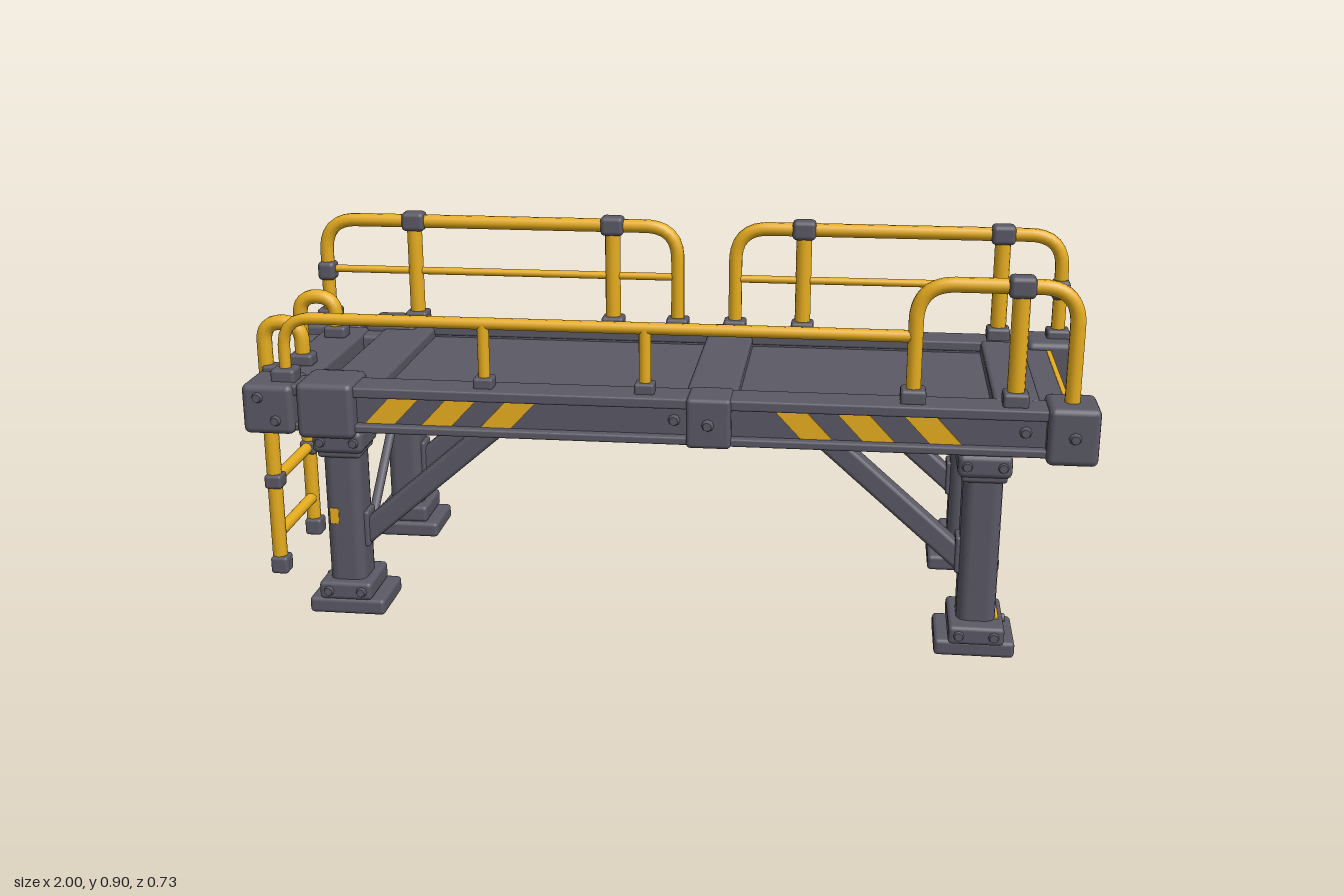
import * as THREE from 'three';
import { RoundedBoxGeometry } from 'three/addons/geometries/RoundedBoxGeometry.js';

export function createModel() {
  const root = new THREE.Group();
  root.name = 'maintenancePlatform';
  const mat = (name, color) => {
    const m = new THREE.MeshStandardMaterial({ color });
    m.name = name;
    return m;
  };
  const steel = mat('dark steel', 0x5a5965);
  const yellow = mat('safety yellow', 0xe8ae1e);

  const add = (name, geo, m = steel) => {
    const mesh = new THREE.Mesh(geo, m);
    mesh.name = name;
    root.add(mesh);
    return mesh;
  };
  // Bevelled block given by its min and max on each axis
  const block = (name, x0, x1, y0, y1, z0, z1, r = 0.01, m = steel) => {
    const w = x1 - x0, h = y1 - y0, d = z1 - z0;
    const mesh = add(name, new RoundedBoxGeometry(w, h, d, 2, Math.min(r, w / 3, h / 3, d / 3)), m);
    mesh.position.set((x0 + x1) / 2, (y0 + y1) / 2, (z0 + z1) / 2);
  };
  const cube = (name, x, y, z, w, h, d, r, m) =>
    block(name, x - w / 2, x + w / 2, y - h / 2, y + h / 2, z - d / 2, z + d / 2, r, m);
  const V = (x, y, z) => new THREE.Vector3(x, y, z);
  // Round rod between two points
  const rod = (name, a, b, r, m = steel) => {
    const dir = b.clone().sub(a);
    const mesh = add(name, new THREE.CylinderGeometry(r, r, dir.length(), 12), m);
    mesh.position.copy(a).add(b).multiplyScalar(0.5);
    mesh.quaternion.setFromUnitVectors(V(0, 1, 0), dir.normalize());
  };
  // Pipe through points with rounded corners
  const pipe = (name, pts, bend, r, m = yellow) => {
    const path = new THREE.CurvePath();
    let last = pts[0];
    for (let i = 1; i < pts.length - 1; i++) {
      const p = pts[i];
      const a = p.clone().add(pts[i - 1].clone().sub(p).setLength(bend));
      const b = p.clone().add(pts[i + 1].clone().sub(p).setLength(bend));
      path.add(new THREE.LineCurve3(last, a));
      path.add(new THREE.QuadraticBezierCurve3(a, p, b));
      last = b;
    }
    path.add(new THREE.LineCurve3(last, pts[pts.length - 1]));
    add(name, new THREE.TubeGeometry(path, 72, r, 10), m);
  };
  // Round bolt head facing along x or z
  const bolt = (x, y, z, axis) => {
    const mesh = add('bolt', new THREE.CylinderGeometry(0.01, 0.015, 0.014, 8));
    mesh.position.set(x, y, z);
    if (axis === 'z') mesh.rotation.x = Math.sign(z) * Math.PI / 2;
    else mesh.rotation.z = -Math.sign(x) * Math.PI / 2;
  };

  // Slanted hazard stripe, drawn as a thin plate
  const stripe = (x, lean, s) => {
    const shape = new THREE.Shape();
    const w = 0.036, k = 0.03 * lean;
    shape.moveTo(-w - k, 0.512);
    shape.lineTo(w - k, 0.512);
    shape.lineTo(w + k, 0.576);
    shape.lineTo(-w + k, 0.576);
    const geo = new THREE.ExtrudeGeometry(shape, { depth: 0.005, bevelEnabled: false });
    add('hazardStripe', geo, yellow).position.set(x, 0, s > 0 ? 0.315 : -0.32);
  };

  for (const s of [1, -1]) {
    const side = (name, x0, x1, y0, y1, za, zb, r) =>
      block(name, x0, x1, y0, y1, Math.min(s * za, s * zb), Math.max(s * za, s * zb), r);

    // Long side beams with flanges
    side('beamWeb', -0.9, 0.94, 0.5, 0.59, 0.25, 0.315);
    side('beamTopFlange', -0.9, 0.94, 0.577, 0.602, 0.245, 0.337, 0.005);
    side('beamBottomFlange', -0.9, 0.94, 0.492, 0.511, 0.245, 0.337, 0.005);

    // Corner and joint housings
    side('leftCorner', s > 0 ? -0.96 : -1, -0.838, 0.485, 0.605, 0.22, 0.352, 0.015);
    side('legHousing', -0.83, -0.695, 0.478, 0.612, 0.215, 0.352, 0.015);
    side('rightCorner', 0.885, 1, 0.478, 0.612, 0.215, 0.35, 0.015);
    side('middleJoint', 0.08, 0.182, 0.488, 0.606, 0.24, 0.348, 0.01);
    bolt(0.13, 0.545, s * 0.354, 'z');
    bolt(0.945, 0.545, s * 0.355, 'z');
    bolt(-0.88, 0.52, s * 0.354, 'z');
    bolt(-0.92, 0.575, s * 0.354, 'z');
    bolt(0.05, 0.545, s * 0.32, 'z');
    bolt(0.84, 0.545, s * 0.32, 'z');
    bolt(0.996, 0.545, s * 0.27, 'x');

    // Hazard stripes
    const left = s > 0 ? [-0.61, -0.475, -0.335] : [-0.57, -0.42, -0.27, -0.12];
    const right = s > 0 ? [0.345, 0.485, 0.635] : [0.3, 0.45, 0.6, 0.74];
    left.forEach(x => stripe(x, 1, s));
    right.forEach(x => stripe(x, -1, s));

    // Legs, feet, caps and diagonal braces
    for (const [x, y, e] of [[-0.743, 0.03, -1], [0.755, 0, 1]]) {
      cube('footPlate', x - e * 0.002, y + 0.02, s * 0.257, 0.185, 0.04, 0.16, 0.01);
      cube('footCollar', x, y + 0.06, s * 0.263, 0.128, 0.045, e > 0 ? 0.185 : 0.15, 0.01);
      cube('leg', x, (y + 0.05 + 0.48) / 2, s * 0.265, 0.09, 0.43 - y, 0.102, 0.026);
      cube('legCap', x, 0.465, s * 0.268, 0.122, 0.056, 0.133, 0.014);
      cube('legNeck', x, 0.436, s * 0.267, 0.104, 0.026, 0.114, 0.012);
      for (const d of [-0.04, 0.04]) {
        bolt(x + d, y + 0.06, s * (e > 0 ? 0.356 : 0.339), 'z');
        bolt(x + d, 0.465, s * 0.334, 'z');
      }
      bolt(x + e * 0.065, y + 0.06, s * 0.24, 'x');
      const a = V(x - e * 0.03, 0.21, s * 0.265), b = V(e < 0 ? -0.37 : 0.39, 0.505, s * 0.265);
      const len = a.distanceTo(b);
      const brace = add('diagonalBrace', new RoundedBoxGeometry(len, 0.052, 0.05, 2, 0.01));
      brace.position.copy(a).add(b).multiplyScalar(0.5);
      brace.rotation.z = Math.atan2(b.y - a.y, b.x - a.x);
      cube('braceBracket', x - e * 0.04, 0.235, s * 0.265, 0.03, 0.09, 0.06, 0.006);
    }
  }

  // Cross beams
  block('leftEndBeam', -0.935, -0.82, 0.49, 0.598, -0.24, 0.24);
  block('leftCrossBeam', -0.78, -0.65, 0.49, 0.598, -0.26, 0.26);
  for (const s of [1, -1])
    block('gapFiller', -0.83, -0.77, 0.5, 0.592, s > 0 ? 0.145 : -0.25, s > 0 ? 0.25 : -0.165);
  block('middleCrossBeam', 0.07, 0.19, 0.495, 0.598, -0.26, 0.26);
  block('rightCrossBeam', 0.77, 0.875, 0.492, 0.604, -0.26, 0.26);
  block('rightEndBeam', 0.87, 0.945, 0.488, 0.594, -0.25, 0.25);

  // Chipped paint showing yellow on edges
  cube('paintWear', 0.937, 0.594, 0, 0.012, 0.003, 0.42, 0.001, yellow);
  cube('paintWear', -0.765, 0.275, 0.3155, 0.022, 0.04, 0.003, 0.001, yellow);
  cube('paintWear', 0.7995, 0.22, 0.232, 0.003, 0.025, 0.008, 0.001, yellow);
  cube('paintWear', 0.802, 0.083, 0.25, 0.012, 0.004, 0.1, 0.001, yellow);

  // Sunken floor panels between the beams
  block('leftFloorPanel', -0.66, 0.08, 0.53, 0.572, -0.26, 0.26, 0.004);
  block('rightFloorPanel', 0.18, 0.78, 0.53, 0.572, -0.26, 0.26, 0.004);

  // Rods between the legs at both ends
  rod('rightCrossRod', V(0.755, 0.36, 0.22), V(0.755, 0.105, -0.23), 0.013);
  pipe('saggingPipe', [V(0.755, 0.455, 0.2), V(0.755, 0.408, 0.07), V(0.755, 0.378, -0.07), V(0.755, 0.398, -0.22)], 0.02, 0.011, steel);
  rod('leftCrossRod', V(-0.743, 0.08, 0.21), V(-0.743, 0.4, -0.172), 0.012);
  rod('leftUpperRod', V(-0.743, 0.5, 0.16), V(-0.743, 0.365, -0.22), 0.01);

  // Handrail helpers
  const base = (x, z) => cube('railBase', x, 0.615, z, 0.058, 0.036, 0.058, 0.008);
  const clamp = (x, y, z, w = 0.06) => cube('railClamp', x, y, z, w, 0.05, 0.05, 0.012);
  const loop = (x0, x1, z, posts) => {
    pipe('handrail', [V(x0, 0.6, z), V(x0, 0.872, z), V(x1, 0.872, z), V(x1, 0.6, z)], 0.085, 0.0175);
    for (const x of posts) {
      rod('railPost', V(x, 0.6, z), V(x, 0.87, z), 0.02, yellow);
      clamp(x, 0.872, z);
    }
  };
  // Back rails with thin middle bars
  const zb = -0.293, zf = 0.288;
  for (const [x0, x1, posts] of [[-0.945, -0.01, [-0.705, -0.18]], [0.14, 0.965, [0.315, 0.815]]]) {
    loop(x0, x1, zb, posts);
    rod('middleRail', V(x0, 0.74, zb), V(x1, 0.74, zb), 0.01, yellow);
    for (const x of [x0, x1, ...posts]) base(x, zb);
  }
  for (const x of [-0.945, 0.965]) clamp(x, 0.735, zb, 0.046);

  // Front rails: a long low rail and a tall loop
  loop(0.588, 0.94, zf, [0.815]);
  pipe('lowRail', [V(-0.87, 0.6, zf), V(-0.87, 0.752, zf), V(0.588, 0.752, zf)], 0.07, 0.014);
  for (const x of [-0.87, 0.588, 0.815]) base(x, zf);
  for (const x of [-0.395, -0.02]) {
    rod('lowRailPost', V(x, 0.6, zf), V(x, 0.752, zf), 0.014, yellow);
    cube('lowRailBase', x, 0.612, zf, 0.046, 0.028, 0.046, 0.006);
  }

  // Ladder with curved handles
  const lx = -0.975;
  for (const z of [0.133, -0.136]) {
    pipe('ladderRail', [V(lx, 0.07, z), V(lx, 0.7, z), V(-0.88, 0.7, z), V(-0.88, 0.59, z)], 0.047, 0.0185);
    cube('ladderFoot', lx + 0.003, 0.07, z, 0.044, 0.045, 0.048, 0.008);
    cube('handleBase', -0.88, 0.61, z, 0.058, 0.032, 0.05, 0.008);
    for (const y of [0.445, 0.293]) cube('ladderClamp', lx + 0.002, y, z, 0.044, 0.036, 0.048, 0.008);
    cube('ladderMount', lx + 0.025, 0.57, z, 0.06, 0.05, 0.046, 0.008);
  }
  for (const y of [0.445, 0.293, 0.15])
    rod('ladderRung', V(lx, y, 0.133), V(lx, y, -0.136), 0.015, yellow);

  return root;
}
